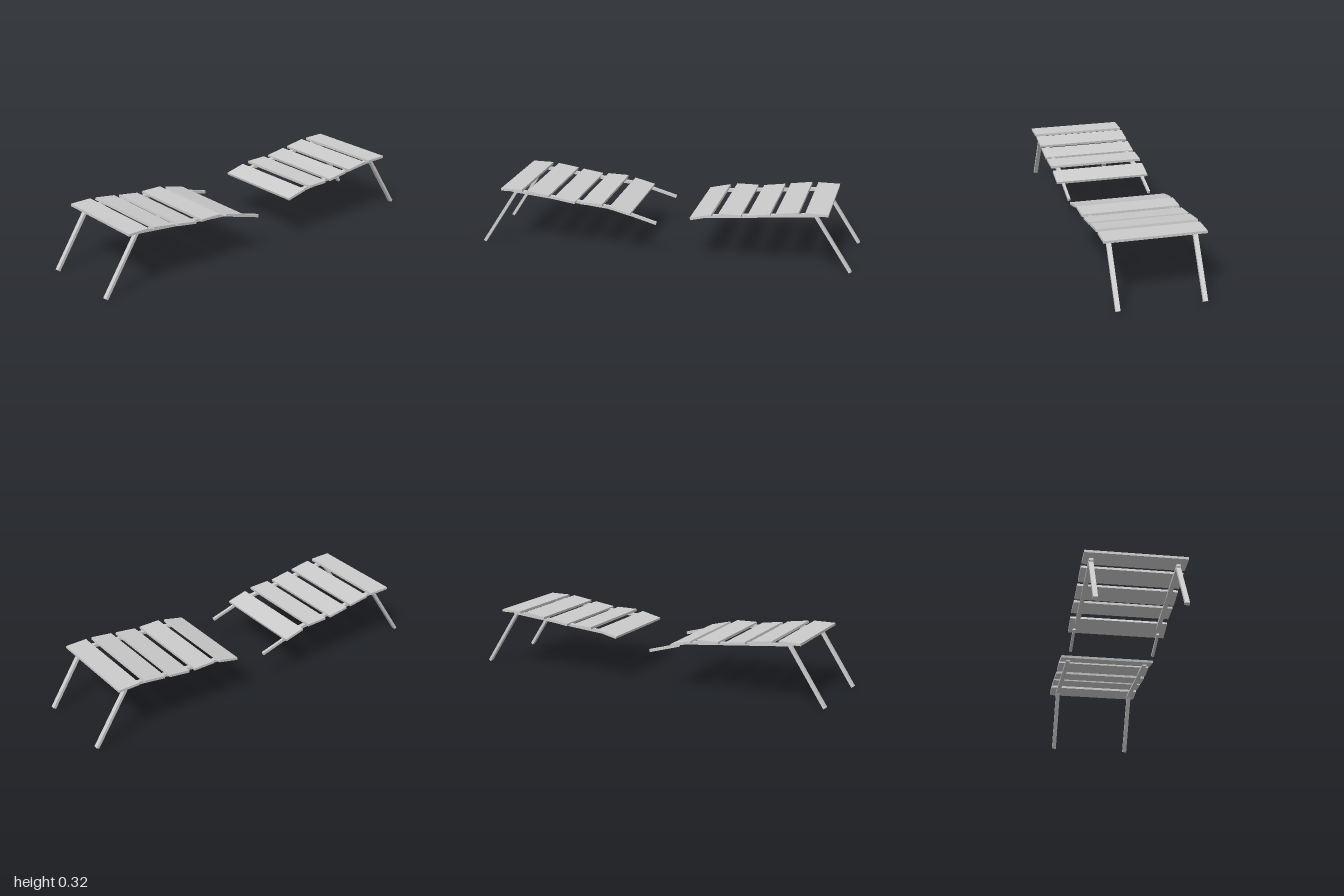
import * as THREE from 'three';

const material = new THREE.MeshStandardMaterial({ color: 0xcccccc, flatShading: true });

// Square-edged board whose centre line runs from (x0,y0) to (x1,y1), centred on z
function board(name, [x0, y0], [x1, y1], thickness, width, z = 0) {
  const length = Math.hypot(x1 - x0, y1 - y0);
  const mesh = new THREE.Mesh(new THREE.BoxGeometry(length, thickness, width), material);
  mesh.position.set((x0 + x1) / 2, (y0 + y1) / 2, z);
  mesh.rotation.z = Math.atan2(y1 - y0, x1 - x0);
  mesh.name = name;
  return mesh;
}

// One half of the broken bench: slats [x0, top0, x1, top1], rail, legs
function benchHalf(name, slats, rail, leg, zs) {
  const half = new THREE.Group();
  half.name = name;
  const t = 0.013;
  for (const [x0, y0, x1, y1] of slats) {
    half.add(board('slat', [x0, y0 - t / 2], [x1, y1 - t / 2], t, 0.51));
  }
  for (const z of zs) {
    half.add(board('rail', ...rail, 0.015, 0.022, z));
    half.add(board('leg', ...leg, 0.015, 0.023, z));
  }
  return half;
}

export function createModel() {
  const bench = new THREE.Group();
  bench.name = 'brokenBench';

  const rightHalf = benchHalf('rightHalf', [
    [-0.872, 0.325, -0.755, 0.325],
    [-0.724, 0.322, -0.607, 0.305],
    [-0.578, 0.300, -0.463, 0.283],
    [-0.430, 0.284, -0.313, 0.282],
    [-0.275, 0.271, -0.163, 0.243],
  ], [[-0.82, 0.306], [-0.23, 0.250]], [[-0.9937, 0.0041], [-0.797, 0.307]], [0.214, -0.215]);

  // Snapped rail ends sagging towards the gap
  for (const z of [0.219, -0.226]) {
    rightHalf.add(board('snappedRail', [-0.2, 0.236], [-0.03, 0.188], 0.015, 0.014, z));
  }

  const leftHalf = benchHalf('leftHalf', [
    [0.158, 0.248, 0.270, 0.275],
    [0.307, 0.283, 0.425, 0.284],
    [0.457, 0.285, 0.573, 0.302],
    [0.602, 0.307, 0.719, 0.324],
    [0.751, 0.325, 0.868, 0.325],
  ], [[0.22, 0.250], [0.815, 0.306]], [[0.9872, 0.0141], [0.797, 0.307]], [0.217, -0.2125]);

  bench.add(rightHalf, leftHalf);
  return bench;
}
